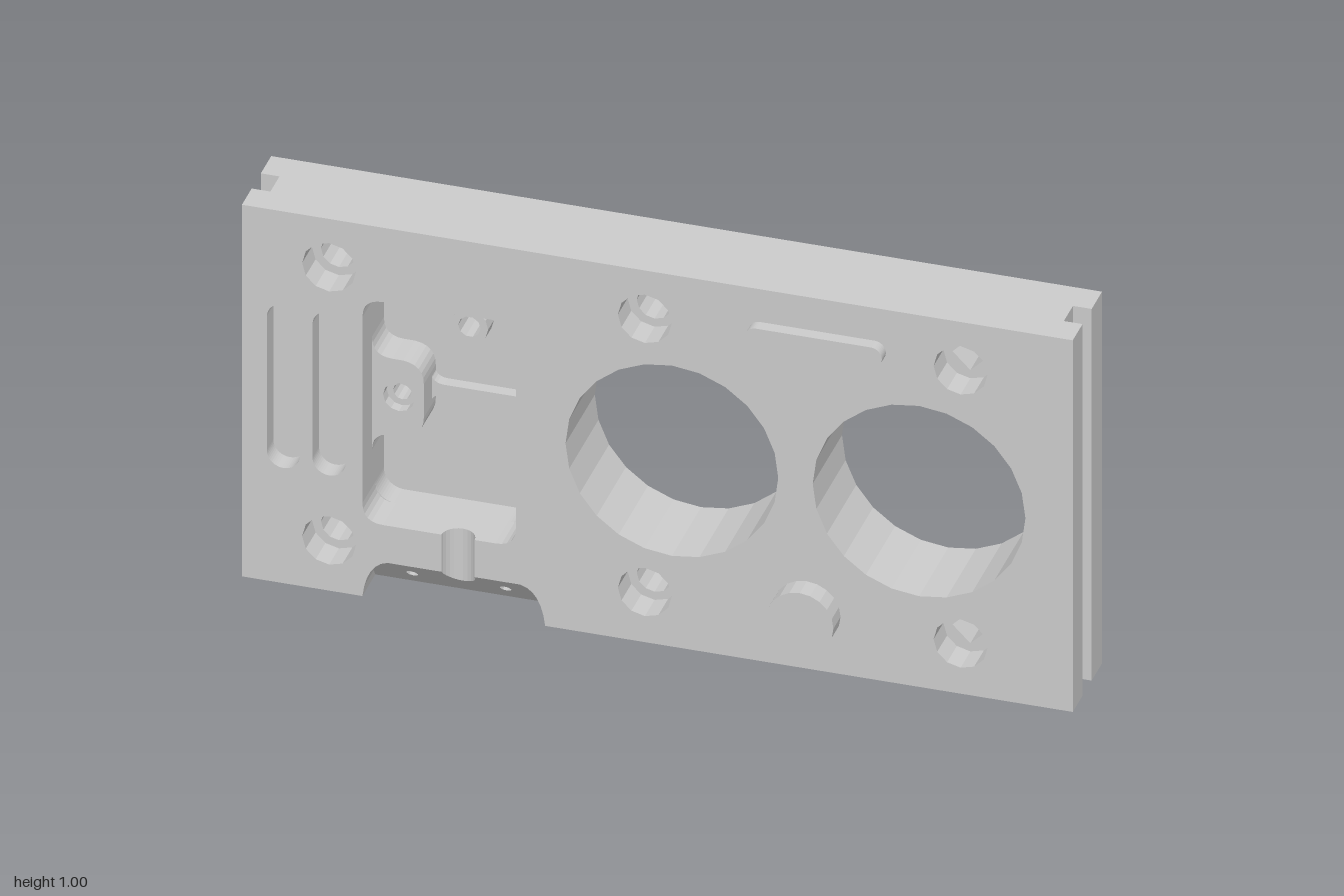
import * as THREE from 'three';

const material = new THREE.MeshStandardMaterial({ color: 0xcccccc, flatShading: true, side: THREE.DoubleSide });

// Polygonal circle as a path
function circle(x, y, r, n = 16, Type = THREE.Path) {
  const pts = [];
  for (let i = 0; i < n; i++) {
    const a = (i / n) * Math.PI * 2;
    pts.push(new THREE.Vector2(x + r * Math.cos(a), y + r * Math.sin(a)));
  }
  return new Type(pts);
}

// Rounded rectangle as a path
function roundRect(x0, y0, x1, y1, r, Type = THREE.Path) {
  const p = new Type();
  p.moveTo(x0 + r, y0);
  p.lineTo(x1 - r, y0);
  p.absarc(x1 - r, y0 + r, r, -Math.PI / 2, 0);
  p.lineTo(x1, y1 - r);
  p.absarc(x1 - r, y1 - r, r, 0, Math.PI / 2);
  p.lineTo(x0 + r, y1);
  p.absarc(x0 + r, y1 - r, r, Math.PI / 2, Math.PI);
  p.lineTo(x0, y0 + r);
  p.absarc(x0 + r, y0 + r, r, Math.PI, Math.PI * 1.5);
  return p;
}

// Plate outline; the open version joins the bottom notch, channel and pocket
function outline(w, open) {
  const s = new THREE.Shape();
  s.moveTo(-w, 0);
  if (open) {
    s.lineTo(-0.71, 0);
    s.quadraticCurveTo(-0.7, 0.09, -0.65, 0.1);
    s.lineTo(-0.52, 0.1);
    s.lineTo(-0.52, 0.2);
    s.lineTo(-0.66, 0.2);
    s.quadraticCurveTo(-0.71, 0.2, -0.71, 0.25);
    s.lineTo(-0.71, 0.75);
    s.quadraticCurveTo(-0.71, 0.8, -0.66, 0.8);
    s.lineTo(-0.39, 0.8);
    s.quadraticCurveTo(-0.34, 0.8, -0.34, 0.75);
    s.lineTo(-0.34, 0.25);
    s.quadraticCurveTo(-0.34, 0.2, -0.39, 0.2);
    s.lineTo(-0.44, 0.2);
    s.lineTo(-0.44, 0.1);
    s.lineTo(-0.33, 0.1);
    s.quadraticCurveTo(-0.28, 0.09, -0.27, 0);
  }
  s.lineTo(w, 0);
  s.lineTo(w, 1);
  s.lineTo(-w, 1);
  s.closePath();
  return s;
}

function slab(group, name, shape, z0, z1, holes = []) {
  shape.holes.push(...holes);
  const geo = new THREE.ExtrudeGeometry(shape, { depth: z1 - z0, bevelEnabled: false, curveSegments: 6 });
  geo.translate(0, 0, z0);
  const mesh = new THREE.Mesh(geo, material);
  mesh.name = name;
  group.add(mesh);
  return mesh;
}

// Large openings plus six bolt holes, wide (counterbore) or narrow
function plateHoles(wide) {
  const holes = [circle(0.035, 0.5, 0.256, 24), circle(0.63, 0.5, 0.256, 24)];
  for (const x of [-0.79, -0.03, 0.73])
    for (const y of [0.135, 0.87])
      holes.push(wide ? circle(x, y, 0.065, 12) : circle(x, y, 0.043, x > 0.5 ? 4 : 12));
  return holes;
}

export function createModel() {
  const model = new THREE.Group();
  const floor = -0.08, front = 0.085, notchBack = -0.015;
  const pocket = () => roundRect(-0.71, 0.2, -0.34, 0.8, 0.05);

  // Plate in layers; the narrower ones form the side grooves
  const plate = new THREE.Group();
  plate.name = 'plate';
  model.add(plate);
  const slots = [-0.94, -0.83].map((x) => roundRect(x, 0.31, x + 0.08, 0.75, 0.04));
  slab(plate, 'frontFace', outline(1, true), 0.035, front, [...plateHoles(true), ...slots]);
  slab(plate, 'frontLayer', outline(1, true), 0.01, 0.035, plateHoles(true));
  slab(plate, 'grooveFrontLayer', outline(0.955, true), notchBack, 0.01, plateHoles(false));
  slab(plate, 'grooveBackLayer', outline(0.955, false), -0.06, notchBack, [...plateHoles(false), pocket()]);
  slab(plate, 'pocketFloorLayer', outline(1, false), floor, -0.06, [...plateHoles(false), pocket()]);
  slab(plate, 'backLayer', outline(1, false), -0.14, floor, [...plateHoles(false), circle(-0.49, 0.695, 0.027, 10)]);

  // Round-bottomed channel from the pocket to the notch
  const channel = [];
  for (let i = 0; i <= 12; i++) {
    const a = (i / 12) * Math.PI;
    channel.push([-0.48 + 0.04 * Math.cos(a), front - 0.04 * Math.sin(a)]);
  }
  const pos = [], index = [];
  channel.forEach(([x, z], i) => {
    pos.push(x, 0.2, floor, x, 0.2, z, x, z - notchBack, z);
    if (i === 0) return;
    for (let k = 0; k < 2; k++) {
      const a = (i - 1) * 3 + k, b = i * 3 + k;
      index.push(a, b, a + 1, b, b + 1, a + 1);
    }
  });
  const channelGeo = new THREE.BufferGeometry();
  channelGeo.setAttribute('position', new THREE.Float32BufferAttribute(pos, 3));
  channelGeo.setIndex(index);
  channelGeo.computeVertexNormals();
  const channelMesh = new THREE.Mesh(channelGeo, material);
  channelMesh.name = 'channel';
  model.add(channelMesh);

  // Sloped notch face with two pin holes, sheared back to 45 degrees
  const slope = new THREE.Shape();
  slope.moveTo(-0.71, 0);
  slope.lineTo(-0.27, 0);
  slope.lineTo(-0.27, 0.1);
  for (const [x, z] of channel) slope.lineTo(x, z - notchBack);
  slope.lineTo(-0.71, 0.1);
  slope.closePath();
  const slopeMesh = slab(model, 'notchSlope', slope, -0.04, 0, [-0.605, -0.38].map((x) => circle(x, 0.053, 0.014, 8)));
  const p = slopeMesh.geometry.attributes.position;
  for (let i = 0; i < p.count; i++) p.setZ(i, p.getZ(i) + p.getY(i) + notchBack);
  slopeMesh.geometry.computeVertexNormals();

  // Flared side boss with a stepped blind hole
  const boss = (r) => {
    const s = new THREE.Shape();
    s.moveTo(-0.71, 0.35);
    s.quadraticCurveTo(-0.71, 0.4, -0.66, 0.4);
    s.lineTo(-0.635, 0.4);
    s.quadraticCurveTo(-0.585, 0.41, -0.585, 0.46);
    s.lineTo(-0.585, 0.55);
    s.quadraticCurveTo(-0.585, 0.6, -0.635, 0.605);
    s.lineTo(-0.66, 0.605);
    s.quadraticCurveTo(-0.71, 0.605, -0.71, 0.655);
    s.closePath();
    s.holes.push(circle(-0.645, 0.505, r, 12));
    return s;
  };
  slab(model, 'sideBoss', boss(0.022), floor, -0.015);
  slab(model, 'sideBossTop', boss(0.038), -0.015, 0.012);

  // Low rib with flared ends, and the collar round the through hole
  const rib = new THREE.Shape();
  rib.moveTo(-0.59, 0.46);
  rib.quadraticCurveTo(-0.585, 0.49, -0.555, 0.49);
  rib.lineTo(-0.36, 0.49);
  rib.quadraticCurveTo(-0.34, 0.49, -0.34, 0.47);
  rib.lineTo(-0.34, 0.54);
  rib.quadraticCurveTo(-0.34, 0.518, -0.36, 0.518);
  rib.lineTo(-0.555, 0.518);
  rib.quadraticCurveTo(-0.585, 0.518, -0.59, 0.55);
  rib.closePath();
  slab(model, 'rib', rib, floor, -0.05);
  slab(model, 'collar', circle(-0.49, 0.695, 0.045, 12, THREE.Shape), floor, -0.035, [circle(-0.49, 0.695, 0.027, 10)]);

  // Raised bar and round button on the front
  slab(model, 'raisedBar', roundRect(0.22, 0.857, 0.55, 0.912, 0.0274, THREE.Shape), front - 0.01, 0.116);
  slab(model, 'button', circle(0.36, 0.154, 0.081, 20, THREE.Shape), front - 0.01, 0.14);

  return model;
}
